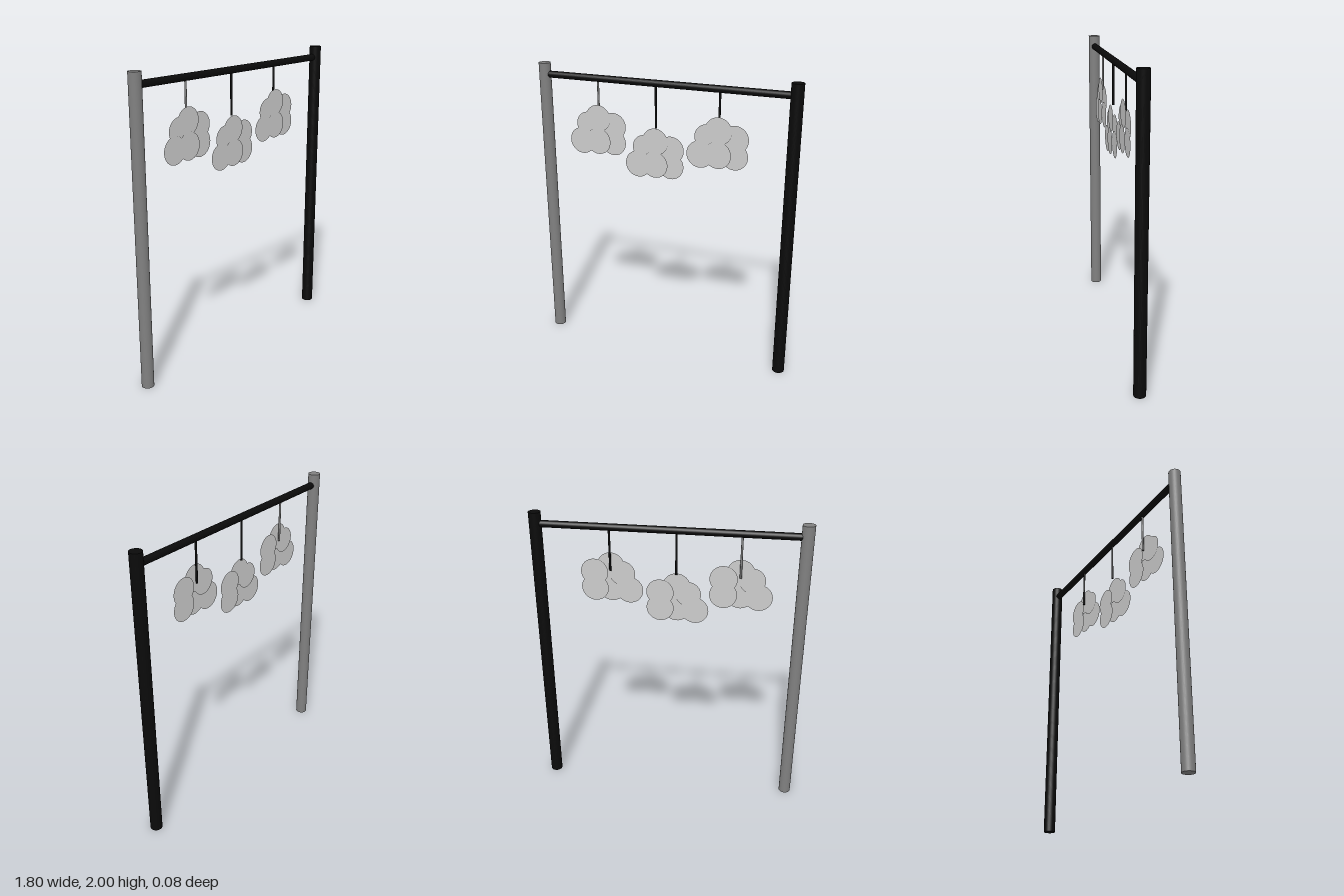
import * as THREE from 'three';

const mat = (color, side = THREE.FrontSide) => new THREE.MeshStandardMaterial({ color, side });

export function createModel() {
  const model = new THREE.Group();
  model.name = 'cloudMobile';
  const black = mat(0x0a0a0a);
  const grey = mat(0x808080);
  const cloudGrey = mat(0xb8b8b8, THREE.DoubleSide);
  cloudGrey.color.set(0xcccccc);

  const add = (parent, name, geometry, material, x, y, z) => {
    const mesh = new THREE.Mesh(geometry, material);
    mesh.name = name;
    mesh.position.set(x, y, z);
    parent.add(mesh);
    return mesh;
  };

  // Upright posts
  const post = new THREE.CylinderGeometry(0.04, 0.04, 2, 32);
  add(model, 'rightPost', post, grey, -0.858, 1, 0);
  add(model, 'leftPost', post, black, 0.858, 1, 0);

  // Crossbar
  const bar = new THREE.CylinderGeometry(0.023, 0.023, 1.66, 32);
  add(model, 'crossbar', bar, black, 0, 1.923, 0).rotation.z = Math.PI / 2;

  // Flat discs of one cloud: x and y from the cloud's origin, z, radius
  const discs = [
    [0.108, -0.045, 0.008, 0.09],
    [0.108, -0.155, 0.011, 0.09],
    [-0.075, -0.048, 0.014, 0.085],
    [0, 0, 0.017, 0.09],
    [-0.12, -0.163, 0.02, 0.09],
    [0, -0.155, 0.023, 0.09],
  ];

  // Three hanging clouds with their strings
  const stringGeo = new THREE.CylinderGeometry(0.007, 0.007, 0.29, 16);
  const hangers = [
    [-0.463, 1.658, grey],
    [-0.052, 1.541, black],
    [0.379, 1.658, black],
  ];
  for (const [x, y, stringMat] of hangers) {
    add(model, 'string', stringGeo, stringMat, x, 1.775, 0);
    const cloud = new THREE.Group();
    cloud.name = 'cloud';
    cloud.position.set(x, y, 0);
    for (const [dx, dy, dz, r] of discs) {
      add(cloud, 'cloudPuff', new THREE.CircleGeometry(r, 48), cloudGrey, dx, dy, dz);
    }
    model.add(cloud);
  }
  return model;
}
